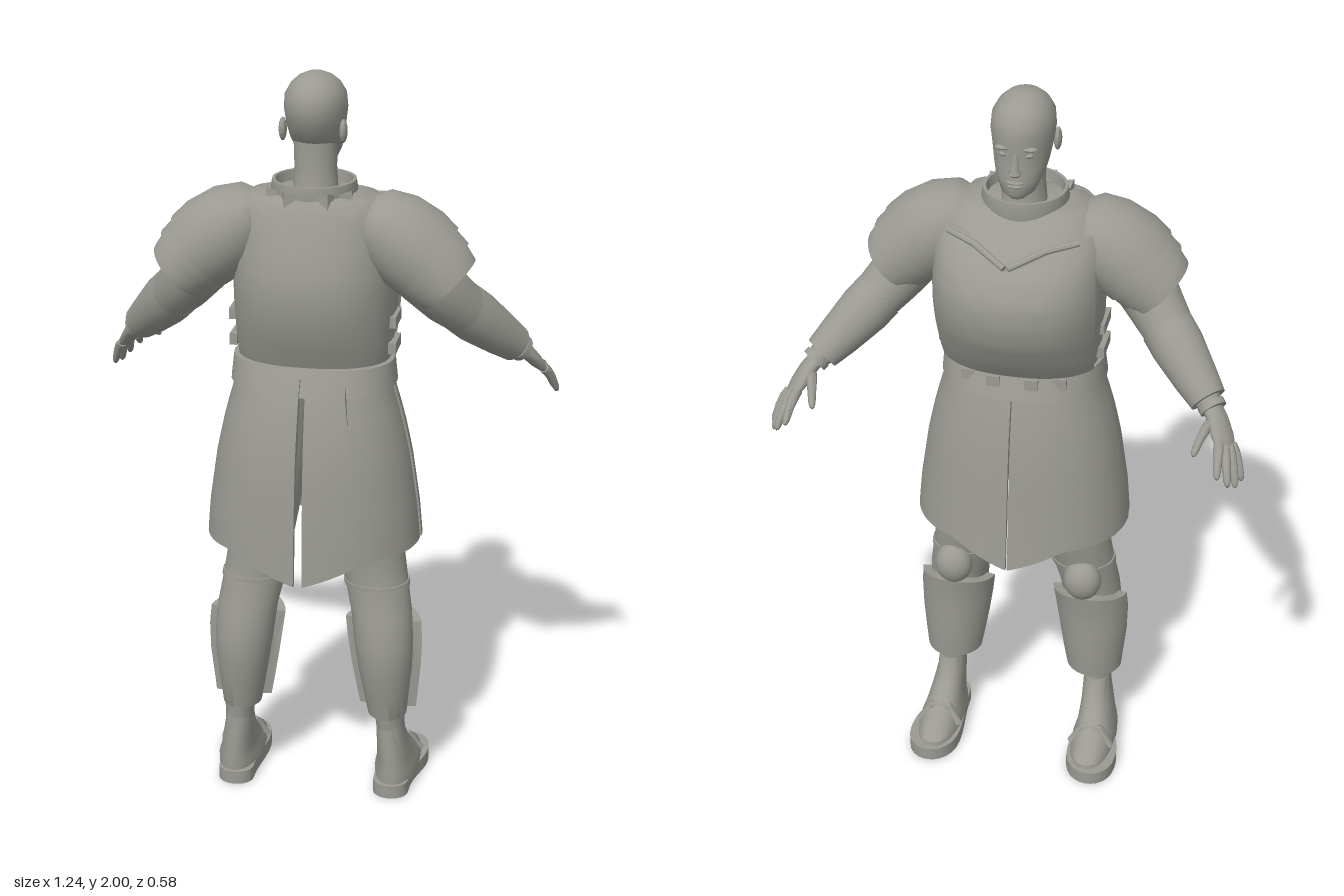
import * as THREE from 'three';
import { toCreasedNormals } from 'three/addons/utils/BufferGeometryUtils.js';

const V = (x, y, z) => new THREE.Vector3(x, y, z);

// Reverse the triangles if the closed surface is inside out
function orient(geo) {
  const p = geo.attributes.position, ix = geo.index.array;
  const a = V(), b = V(), c = V();
  let vol = 0;
  for (let i = 0; i < ix.length; i += 3) {
    a.fromBufferAttribute(p, ix[i]); b.fromBufferAttribute(p, ix[i + 1]); c.fromBufferAttribute(p, ix[i + 2]);
    vol += a.dot(b.cross(c));
  }
  if (vol < 0) for (let i = 0; i < ix.length; i += 3) [ix[i], ix[i + 1]] = [ix[i + 1], ix[i]];
  return geo;
}

// Closed skin through cross-sections that share one point count
function loft(sections) {
  const n = sections[0].length, pts = sections.flat(), ix = [];
  for (let i = 0; i < sections.length - 1; i++) for (let j = 0; j < n; j++) {
    const a = i * n + j, b = i * n + (j + 1) % n;
    ix.push(a, b, a + n, b, b + n, a + n);
  }
  [0, sections.length - 1].forEach((s, end) => {
    const mid = V();
    sections[s].forEach(p => mid.addScaledVector(p, 1 / n));
    const m = pts.push(mid) - 1;
    for (let j = 0; j < n; j++) {
      const a = s * n + j, b = s * n + (j + 1) % n;
      end ? ix.push(a, b, m) : ix.push(b, a, m);
    }
  });
  const geo = new THREE.BufferGeometry().setFromPoints(pts);
  geo.setIndex(ix);
  return orient(geo);
}

// Upright body surface from rows [y, centreX, halfWidth, frontZ, backZ]; angle 0 is +z
function surface(rows, power = 1) {
  const bend = v => Math.sign(v) * Math.abs(v) ** power;
  return (y, a, off = 0) => {
    let i = 0;
    const up = rows[1][0] > rows[0][0];
    while (i < rows.length - 2 && (up ? y > rows[i + 1][0] : y < rows[i + 1][0])) i++;
    const t = THREE.MathUtils.clamp((y - rows[i][0]) / (rows[i + 1][0] - rows[i][0]), 0, 1);
    const [cx, rx, f, b] = [1, 2, 3, 4].map(k => rows[i][k] + (rows[i + 1][k] - rows[i][k]) * t);
    return V(cx + (rx + off) * bend(Math.sin(a)), y, (f + b) / 2 + ((b - f) / 2 + off) * bend(Math.cos(a)));
  };
}

function body(rows, power = 1, n = 32) {
  const at = surface(rows, power);
  return loft(rows.map(r => Array.from({ length: n }, (_, j) => at(r[0], j / n * Math.PI * 2))));
}

// Curved plate with thickness lying on a surface
function panel(at, a0, a1, lo, hi, off, thick = 0.012, na = 18, ny = 10) {
  const sections = [];
  for (let i = 0; i <= na; i++) {
    const a = a0 + (a1 - a0) * i / na, s = [];
    const y = j => lo(a) + (hi(a) - lo(a)) * j / ny;
    for (let j = 0; j <= ny; j++) s.push(at(y(j), a, off));
    for (let j = ny; j >= 0; j--) s.push(at(y(j), a, off - thick));
    sections.push(s);
  }
  return loft(sections);
}

// Limb through stations [x, y, z, radius, radius along ref]
function limb(st, ref = V(0, 0, 1), n = 20) {
  const c = st.map(s => V(s[0], s[1], s[2]));
  return loft(st.map((s, i) => {
    const t = c[Math.min(i + 1, c.length - 1)].clone().sub(c[Math.max(i - 1, 0)]).normalize();
    const u = ref.clone().cross(t).normalize(), v = t.clone().cross(u);
    return Array.from({ length: n }, (_, j) => {
      const a = j / n * Math.PI * 2;
      return c[i].clone().addScaledVector(u, Math.cos(a) * s[3]).addScaledVector(v, Math.sin(a) * (s[4] ?? s[3]));
    });
  }));
}

export function createModel() {
  const model = new THREE.Group();
  const clay = new THREE.MeshStandardMaterial({ color: 0x9a9992 });
  clay.name = 'warm grey';
  const add = (name, geo) => {
    const mesh = new THREE.Mesh(toCreasedNormals(geo, 0.75), clay);
    mesh.name = name;
    model.add(mesh);
  };
  const pair = (name, geo) => {
    add(name + 'Left', geo);
    add(name + 'Right', orient(geo.clone().scale(-1, 1, 1)));
  };
  const ball = (x, y, z, rx, ry, rz) => new THREE.SphereGeometry(1, 20, 14).scale(rx, ry, rz).translate(x, y, z);
  const flat = y => () => y;

  // Head and face, looking towards -z
  add('head', body([
    [1.75, 0, 0.022, -0.075, -0.025], [1.765, 0, 0.042, -0.086, 0], [1.80, 0, 0.06, -0.085, 0.045],
    [1.83, 0, 0.068, -0.082, 0.078], [1.87, 0, 0.075, -0.08, 0.108], [1.91, 0, 0.08, -0.084, 0.12],
    [1.945, 0, 0.077, -0.077, 0.117], [1.97, 0, 0.063, -0.058, 0.1], [1.988, 0, 0.043, -0.03, 0.075],
    [1.997, 0, 0.022, -0.005, 0.047], [2, 0, 0.005, 0.014, 0.024]]));
  add('nose', body([[1.815, 0, 0.012, -0.09, -0.06], [1.823, 0, 0.017, -0.1, -0.06], [1.835, 0, 0.011, -0.097, -0.06],
    [1.875, 0, 0.007, -0.082, -0.06]], 1, 12));
  add('upperLip', ball(0, 1.798, -0.081, 0.022, 0.005, 0.011));
  add('lowerLip', ball(0, 1.788, -0.08, 0.019, 0.006, 0.011));
  pair('eye', ball(0.03, 1.867, -0.066, 0.014, 0.007, 0.01));
  pair('brow', ball(0.031, 1.885, -0.068, 0.022, 0.006, 0.012));
  pair('ear', ball(0.077, 1.86, 0.022, 0.01, 0.03, 0.018).rotateX(0.02));
  add('neck', body([[1.64, 0, 0.075, -0.05, 0.1], [1.70, 0, 0.058, -0.035, 0.085], [1.76, 0, 0.054, -0.03, 0.075],
    [1.83, 0, 0.056, -0.03, 0.075]]));

  // Cuirass: shell, chest plate with dipped neckline, back yoke
  const torso = [
    [1.23, 0, 0.19, -0.1, 0.15], [1.27, 0, 0.2, -0.115, 0.165], [1.32, 0, 0.205, -0.15, 0.188], [1.4, 0, 0.21, -0.193, 0.213],
    [1.46, 0, 0.212, -0.208, 0.218], [1.52, 0, 0.212, -0.207, 0.213], [1.58, 0, 0.208, -0.18, 0.192],
    [1.63, 0, 0.203, -0.133, 0.175], [1.67, 0, 0.19, -0.085, 0.158], [1.695, 0, 0.165, -0.06, 0.145],
    [1.705, 0, 0.11, -0.045, 0.135]];
  const chest = surface(torso, 0.85);
  add('cuirass', body(torso, 0.85, 40));
  const dip = (d, low, high) => low + (high - low) * Math.min(1, d / 0.6);
  add('breastplate', panel(chest, Math.PI - 1.15, Math.PI + 1.15, flat(1.27),
    a => dip(Math.abs(a - Math.PI), 1.60, 1.655), 0.014, 0.016, 32, 16));
  add('backYoke', panel(chest, -0.95, 0.95, a => dip(Math.abs(a), 1.605, 1.675), flat(1.7), 0.01, 0.012, 28, 5));
  pair('neckRidge', limb([[0.005, 1.615, -0.185, 0.008], [0.09, 1.648, -0.135, 0.009], [0.165, 1.66, -0.1, 0.008]], V(0, 1, 0), 8));
  for (const y of [1.3, 1.37]) pair('sideStrap', new THREE.BoxGeometry(0.02, 0.03, 0.09).translate(0.208, y, 0.03));

  // Standing collar with pointed trim at the nape
  const collar = [[0.1, 1.65], [0.112, 1.695], [0.107, 1.732], [0.099, 1.732], [0.09, 1.66], [0.1, 1.65]];
  add('collar', new THREE.LatheGeometry(collar.map(p => new THREE.Vector2(...p)), 40).translate(0, 0, 0.04));
  for (const a of [0.42, 0.95])
    pair('collarPoint', new THREE.ConeGeometry(0.024, 0.06, 4).rotateX(Math.PI - 0.45).translate(0, 1.685, 0.125)
      .rotateY(a).translate(0, 0, 0.035));

  // Belt and split skirt
  const skirt = surface([
    [1.27, 0, 0.198, -0.1, 0.17], [1.2, 0, 0.205, -0.125, 0.2], [1.1, 0, 0.234, -0.148, 0.228], [1.0, 0, 0.256, -0.164, 0.245],
    [0.85, 0, 0.278, -0.18, 0.258], [0.7, 0, 0.29, -0.198, 0.266]], 0.9);
  add('belt', panel(skirt, 0, Math.PI * 2, flat(1.2), flat(1.265), 0.012, 0.03, 48, 3));
  const point = d => 0.765 - 0.062 * Math.max(0, 1 - d / 0.5);
  pair('skirtBackPanel', panel(skirt, 0.025, 0.46, point, flat(1.245), 0.022));
  pair('skirtSidePanel', panel(skirt, 0.4, 1.55, flat(0.765), flat(1.22), 0));
  pair('skirtFrontPanel', panel(skirt, 1.58, Math.PI - 0.004, a => point(Math.PI - a), flat(1.22), 0.003, 0.012, 24));
  for (const x of [0.05, 0.12]) pair('beltTab', new THREE.BoxGeometry(0.035, 0.03, 0.012).translate(x, 1.245, x > 0.1 ? -0.098 : -0.118));

  // Legs, greaves and knee caps
  const legRows = [
    [0.19, 0.212, 0.038, -0.01, 0.09], [0.235, 0.21, 0.041, -0.01, 0.095], [0.237, 0.203, 0.053, -0.02, 0.1],
    [0.3, 0.2, 0.062, -0.025, 0.113], [0.38, 0.197, 0.073, -0.028, 0.13], [0.46, 0.192, 0.08, -0.03, 0.132],
    [0.54, 0.184, 0.082, -0.04, 0.117], [0.62, 0.168, 0.085, -0.055, 0.098], [0.7, 0.155, 0.086, -0.075, 0.1],
    [0.8, 0.14, 0.09, -0.085, 0.105], [1, 0.115, 0.1, -0.09, 0.12], [1.2, 0.1, 0.095, -0.08, 0.12]];
  pair('leg', body(legRows, 1, 28));
  pair('greave', panel(surface(legRows), Math.PI - 1.4, Math.PI + 1.4, flat(0.25), a => 0.52 + 0.012 * Math.cos(a * 2), 0.024, 0.03));
  pair('kneeCap', ball(0.18, 0.595, -0.055, 0.052, 0.06, 0.045));
  pair('kneeStrap', panel(surface(legRows), 0, Math.PI * 2, flat(0.615), flat(0.63), 0.004, 0.01, 28, 2));

  // Shoes
  pair('shoe', body([
    [0.025, 0.222, 0.06, -0.2, 0.098], [0.05, 0.222, 0.06, -0.195, 0.1], [0.068, 0.222, 0.053, -0.165, 0.098],
    [0.095, 0.22, 0.048, -0.11, 0.097], [0.13, 0.217, 0.043, -0.062, 0.095], [0.17, 0.213, 0.039, -0.028, 0.093],
    [0.21, 0.212, 0.037, -0.012, 0.09]], 0.9, 28));
  const sole = new THREE.Shape();
  sole.moveTo(0.17, -0.06);
  sole.bezierCurveTo(0.165, -0.125, 0.27, -0.125, 0.267, -0.06);
  sole.bezierCurveTo(0.265, 0.03, 0.3, 0.06, 0.297, 0.13);
  sole.bezierCurveTo(0.295, 0.245, 0.16, 0.24, 0.158, 0.12);
  sole.bezierCurveTo(0.156, 0.05, 0.172, 0, 0.17, -0.06);
  const soleGeo = new THREE.ExtrudeGeometry(sole, { depth: 0.038, bevelEnabled: false, curveSegments: 12 }).rotateX(-Math.PI / 2);
  soleGeo.setIndex([...Array(soleGeo.attributes.position.count).keys()]);
  pair('sole', soleGeo);
  pair('shoeStrap', limb([[0.165, 0.05, -0.1, 0.012], [0.195, 0.1, -0.088, 0.011], [0.245, 0.1, -0.088, 0.011], [0.277, 0.05, -0.1, 0.012]], V(0, 0, 1), 8));

  // Arms with three overlapping shoulder plates and a forearm guard
  pair('arm', limb([[0.17, 1.62, 0.05, 0.08], [0.24, 1.56, 0.06, 0.09], [0.3, 1.49, 0.055, 0.083], [0.345, 1.43, 0.025, 0.073],
    [0.4, 1.372, -0.025, 0.064], [0.46, 1.31, -0.08, 0.05], [0.515, 1.255, -0.13, 0.03]]));
  pair('shoulderCap', limb([[0.125, 1.655, 0.05, 0.04, 0.06], [0.155, 1.64, 0.05, 0.082, 0.1], [0.2, 1.608, 0.05, 0.108, 0.117],
    [0.255, 1.567, 0.052, 0.116, 0.123], [0.295, 1.533, 0.053, 0.112, 0.122]], undefined, 28));
  pair('shoulderPlateMiddle', limb([[0.25, 1.57, 0.053, 0.1, 0.113], [0.295, 1.53, 0.053, 0.107, 0.116], [0.325, 1.503, 0.054, 0.104, 0.114]], undefined, 28));
  pair('shoulderPlateLower', limb([[0.29, 1.535, 0.054, 0.09, 0.106], [0.325, 1.5, 0.053, 0.098, 0.108], [0.35, 1.475, 0.053, 0.09, 0.105]], undefined, 28));
  pair('forearmGuard', limb([[0.378, 1.395, -0.008, 0.069], [0.41, 1.362, -0.035, 0.069], [0.465, 1.306, -0.085, 0.058],
    [0.505, 1.267, -0.12, 0.048]]));
  pair('wristBand', limb([[0.512, 1.26, -0.126, 0.036], [0.522, 1.25, -0.136, 0.036]]));

  // Hands with spread fingers
  const across = V(0.03, -0.015, 0.035);
  pair('palm', limb([[0.508, 1.264, -0.122, 0.022, 0.028], [0.535, 1.235, -0.152, 0.02, 0.033], [0.552, 1.207, -0.18, 0.018, 0.037],
    [0.567, 1.183, -0.202, 0.012, 0.032]], across));
  const fingers = {
    thumb: [0.52, 1.23, -0.165, 0.492, 1.185, -0.262], indexFinger: [0.548, 1.198, -0.205, 0.558, 1.145, -0.293],
    middleFinger: [0.562, 1.188, -0.202, 0.585, 1.12, -0.283], ringFinger: [0.573, 1.183, -0.192, 0.602, 1.104, -0.257],
    littleFinger: [0.578, 1.182, -0.18, 0.613, 1.105, -0.224] };
  for (const [name, [x, y, z, X, Y, Z]] of Object.entries(fingers))
    pair(name, limb([[0, 0.013], [0.3, 0.0135], [0.6, 0.0115], [0.88, 0.0095], [0.97, 0.006], [1, 0.001]]
      .map(([t, r]) => [x + (X - x) * t, y + (Y - y) * t + 0.012 * Math.sin(t * Math.PI), z + (Z - z) * t, r]), across, 10));

  return model;
}
